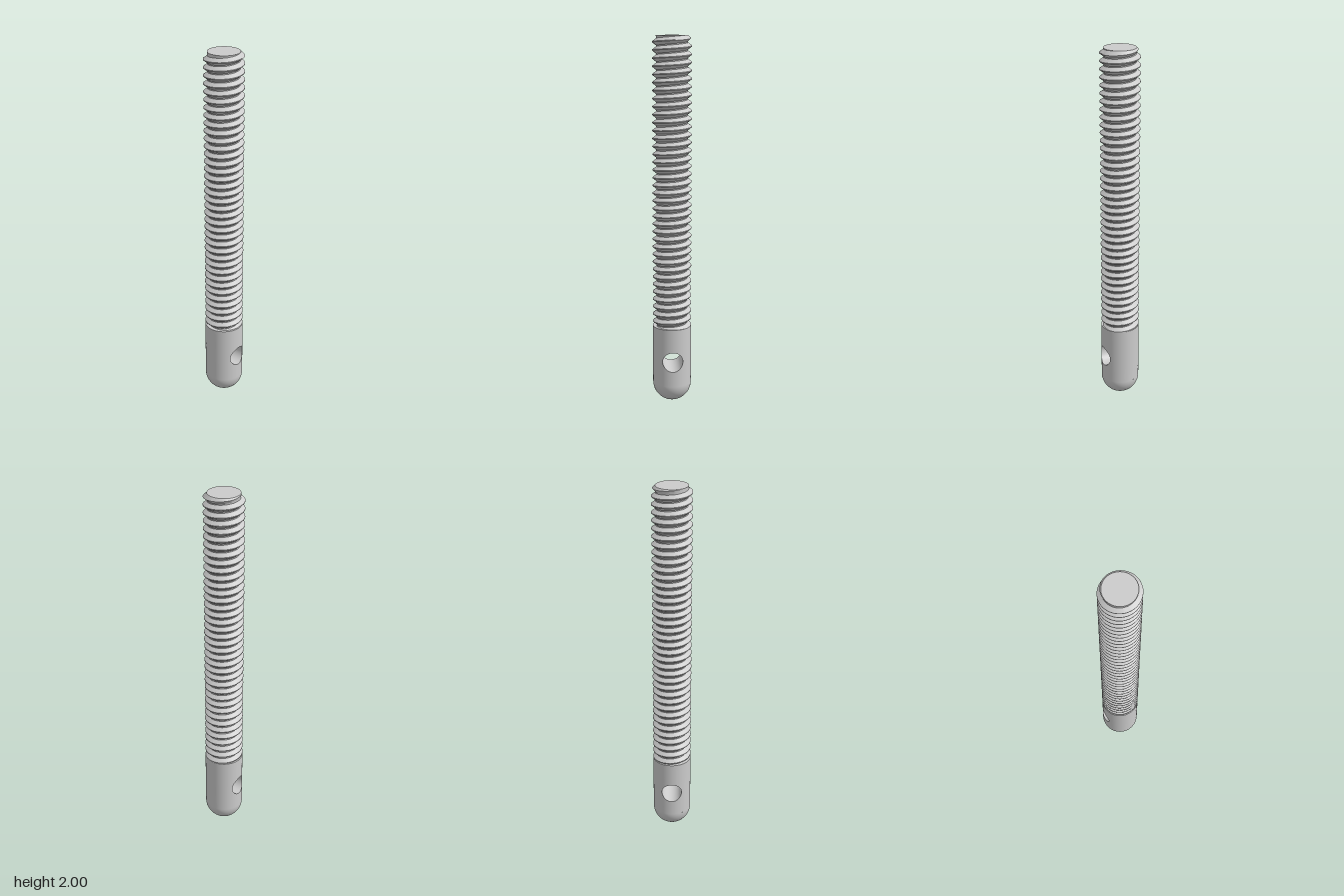
import * as THREE from 'three';
import { ParametricGeometry } from 'three/addons/geometries/ParametricGeometry.js';
import { toCreasedNormals } from 'three/addons/utils/BufferGeometryUtils.js';

const R = 0.105, ROOT = 0.084;            // outer and thread root radius
const SHOULDER = 0.43, TOP = 2;           // threaded length
const PITCH = 0.042;
const HOLE_Y = 0.245, HOLE_R = 0.055;     // cross hole along x

const material = new THREE.MeshStandardMaterial({ color: 0xcccccc });

// thread outline over one pitch: root flat, flank, narrow crest, flank
const BREAKS = [0, 0.14, 0.52, 0.62];
function threadRadius(phase) {
  const t = phase - Math.floor(phase);
  const rise = THREE.MathUtils.clamp((t - 0.14) / 0.38, 0, 1);
  const fall = THREE.MathUtils.clamp((1 - t) / 0.38, 0, 1);
  return ROOT + (R - ROOT) * Math.min(rise, fall);
}

// right-handed helical surface, trimmed flat at both ends
function threadGeometry() {
  const turns = Math.ceil((TOP - SHOULDER) / PITCH) + 1;
  const rows = turns * BREAKS.length;
  const geometry = new ParametricGeometry((u, v, p) => {
    const k = Math.round(v * rows);
    const phase = Math.floor(k / 4) + BREAKS[k % 4] - 1;
    const y = THREE.MathUtils.clamp(SHOULDER + (phase + u) * PITCH, SHOULDER, TOP);
    // small lead-in chamfer at the free end
    const r = Math.min(threadRadius((y - SHOULDER) / PITCH - u), ROOT + (TOP - y) * 0.9 + 0.001);
    const a = u * Math.PI * 2;
    p.set(r * Math.sin(a), y, r * Math.cos(a));
  }, 72, rows);
  return toCreasedNormals(geometry, 0.5);
}

// half of the plain cylinder wall, stretched from its outline to the hole rim
function wallGeometry(side) {
  return new ParametricGeometry((u, v, p) => {
    const f = u * Math.PI * 2 - Math.PI * 0.75;
    const c = Math.cos(f), s = Math.sin(f), m = Math.max(Math.abs(c), Math.abs(s));
    const outerY = s > 0 ? SHOULDER - HOLE_Y : HOLE_Y - R;
    const angle = THREE.MathUtils.lerp((c / m) * Math.PI / 2, Math.asin(HOLE_R * c / R), v);
    const y = HOLE_Y + THREE.MathUtils.lerp((s / m) * outerY, HOLE_R * s, v);
    const a = angle + side * Math.PI / 2;
    p.set(R * Math.sin(a), y, R * Math.cos(a));
  }, 128, 12);
}

// inside of the cross hole, ending on the curved wall
function boreGeometry() {
  return new ParametricGeometry((u, v, p) => {
    const f = u * Math.PI * 2 - Math.PI * 0.75;
    const z = HOLE_R * Math.cos(f);
    p.set((2 * v - 1) * Math.sqrt(R * R - z * z), HOLE_Y + HOLE_R * Math.sin(f), z);
  }, 128, 4);
}

export function createModel() {
  const model = new THREE.Group();
  model.name = 'threadedPin';
  const add = (name, geometry, y = 0) => {
    const mesh = new THREE.Mesh(geometry, material);
    mesh.name = name;
    mesh.position.y = y;
    model.add(mesh);
  };
  const disc = (r) => new THREE.CircleGeometry(r, 72).rotateX(-Math.PI / 2);

  // plain rounded end with its cross hole
  add('roundedTip', new THREE.SphereGeometry(R, 72, 24, 0, Math.PI * 2, Math.PI / 2, Math.PI / 2), R);
  add('leftShankWall', wallGeometry(1));
  add('rightShankWall', wallGeometry(-1));
  add('crossHole', boreGeometry());
  add('shoulder', disc(R), SHOULDER);

  // threaded rod
  add('thread', threadGeometry());
  add('endFace', disc(ROOT + 0.001), TOP);
  return model;
}
